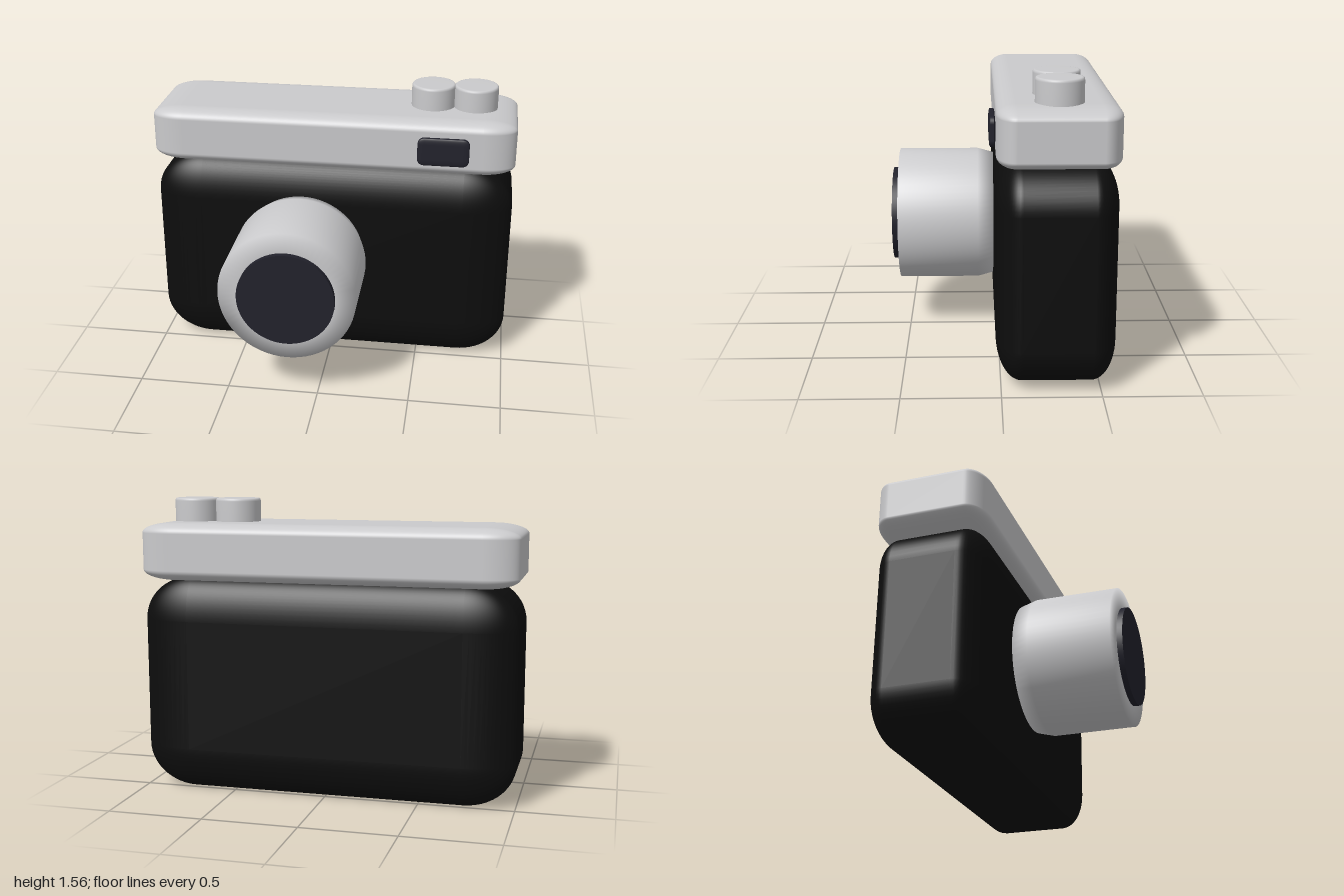
import * as THREE from 'three';
import { RoundedBoxGeometry } from 'three/addons/geometries/RoundedBoxGeometry.js';

const mat = (name, color) => {
  const m = new THREE.MeshStandardMaterial({ color });
  m.name = name;
  return m;
};

// Box with a separate rounding radius along each axis
function softBox(size, radii, segments = 8) {
  const [w, h, d] = size.map((s, i) => s / radii[i]);
  return new RoundedBoxGeometry(w, h, d, segments, 1).scale(...radii);
}

const profile = (points) => points.map(([r, y]) => new THREE.Vector2(r, y));

export function createModel() {
  const black = mat('black leather', 0x0d0d0d);
  const silver = mat('silver metal', 0xcacacc);
  const glass = mat('dark glass', 0x22222c);
  const camera = new THREE.Group();
  camera.name = 'camera';

  function add(name, geometry, material, x, y, z) {
    const mesh = new THREE.Mesh(geometry, material);
    mesh.name = name;
    mesh.position.set(x, y, z);
    camera.add(mesh);
    return mesh;
  }

  // Body and the metal cover on top
  add('body', softBox([2, 1.15, 0.61], [0.27, 0.23, 0.13]), black, 0, 0.575, -0.28);
  add('topCover', softBox([2, 0.305, 0.61], [0.18, 0.055, 0.1]), silver, 0, 1.2825, -0.28);

  // Lens barrel, tapered where it meets the body, with a softly shaded rim
  const barrel = new THREE.LatheGeometry(
    profile([[0, 0], [0.343, 0], [0.37, 0.1], [0.37, 0.54], [0.26, 0.54], [0, 0.54]]), 64);
  add('lensBarrel', barrel.rotateX(Math.PI / 2), silver, -0.155, 0.62, 0.01);

  // Front glass disc
  const disc = new THREE.CylinderGeometry(0.262, 0.262, 0.03, 64).rotateX(Math.PI / 2);
  add('lensGlass', disc, glass, -0.155, 0.62, 0.573);

  // Viewfinder window
  add('viewfinder', softBox([0.277, 0.153, 0.032], [0.035, 0.035, 0.008], 4), glass, 0.613, 1.28, 0.041);

  // Two dials with rounded edges
  const dial = new THREE.LatheGeometry(
    profile([[0.12, 0], [0.12, 0.115], [0.118, 0.124], [0.113, 0.129], [0.106, 0.13], [0, 0.13]]), 48);
  for (const [name, x] of [['innerDial', 0.535], ['outerDial', 0.768]])
    add(name, dial, silver, x, 1.428, -0.283);

  return camera;
}
